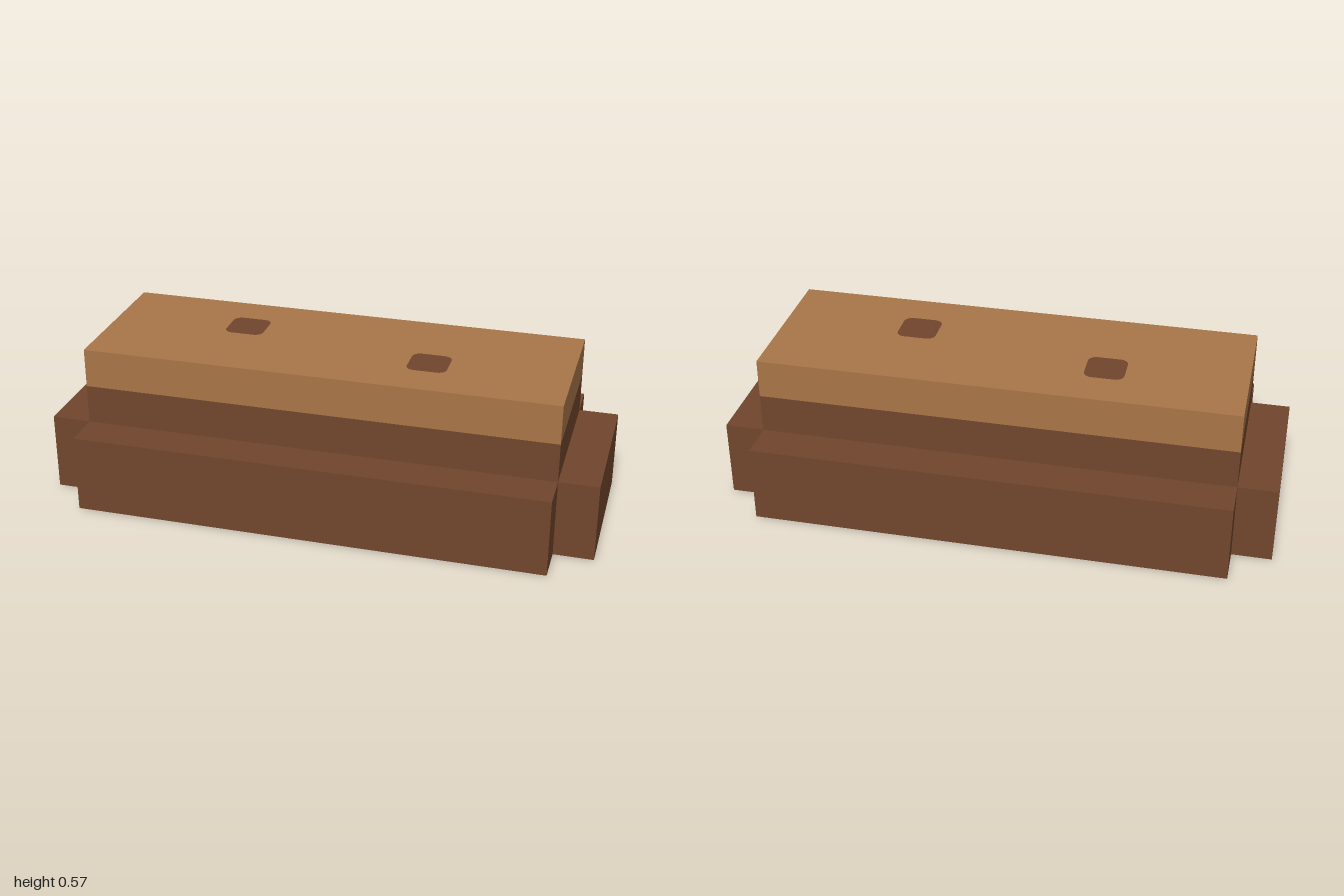
import * as THREE from 'three';

const U = 1 / 7; // building unit

export function createModel() {
  const group = new THREE.Group();
  const darkBrown = new THREE.MeshStandardMaterial({ color: 0x71452c });
  darkBrown.name = 'dark brown';
  const tan = new THREE.MeshStandardMaterial({ color: 0xa97648 });
  tan.name = 'tan';

  const add = (name, geometry, material, x, y, z) => {
    const mesh = new THREE.Mesh(geometry, material);
    mesh.name = name;
    mesh.position.set(x, y, z);
    group.add(mesh);
    return mesh;
  };

  // Base: rectangle with its four corners notched out, extruded upwards
  const outline = new THREE.Shape([
    [-7, -2], [-6, -2], [-6, -3], [6, -3], [6, -2], [7, -2],
    [7, 2], [6, 2], [6, 3], [-6, 3], [-6, 2], [-7, 2],
  ].map(([x, z]) => new THREE.Vector2(x * U, z * U)));
  const baseGeometry = new THREE.ExtrudeGeometry(outline, { depth: 2 * U, bevelEnabled: false });
  baseGeometry.rotateX(-Math.PI / 2);
  add('base', baseGeometry, darkBrown, 0, 0, 0);

  // Upper block: dark lower layer under a tan top layer
  const layer = new THREE.BoxGeometry(12 * U, U, 4 * U);
  add('lowerLayer', layer, darkBrown, 0, 2.5 * U, 0);
  add('topLayer', layer, tan, 0, 3.5 * U, 0);

  // Rounded square spots lying on the top
  const h = U / 2, r = 0.03;
  const spot = new THREE.Shape();
  spot.absarc(h - r, h - r, r, 0, Math.PI / 2);
  spot.absarc(r - h, h - r, r, Math.PI / 2, Math.PI);
  spot.absarc(r - h, r - h, r, Math.PI, 1.5 * Math.PI);
  spot.absarc(h - r, r - h, r, 1.5 * Math.PI, 2 * Math.PI);
  const spotGeometry = new THREE.ShapeGeometry(spot, 4).rotateX(-Math.PI / 2);
  for (const s of [-1, 1]) {
    add(s < 0 ? 'backSpot' : 'frontSpot', spotGeometry, darkBrown, s * 2.5 * U, 4 * U + 0.002, s * h);
  }

  return group;
}
